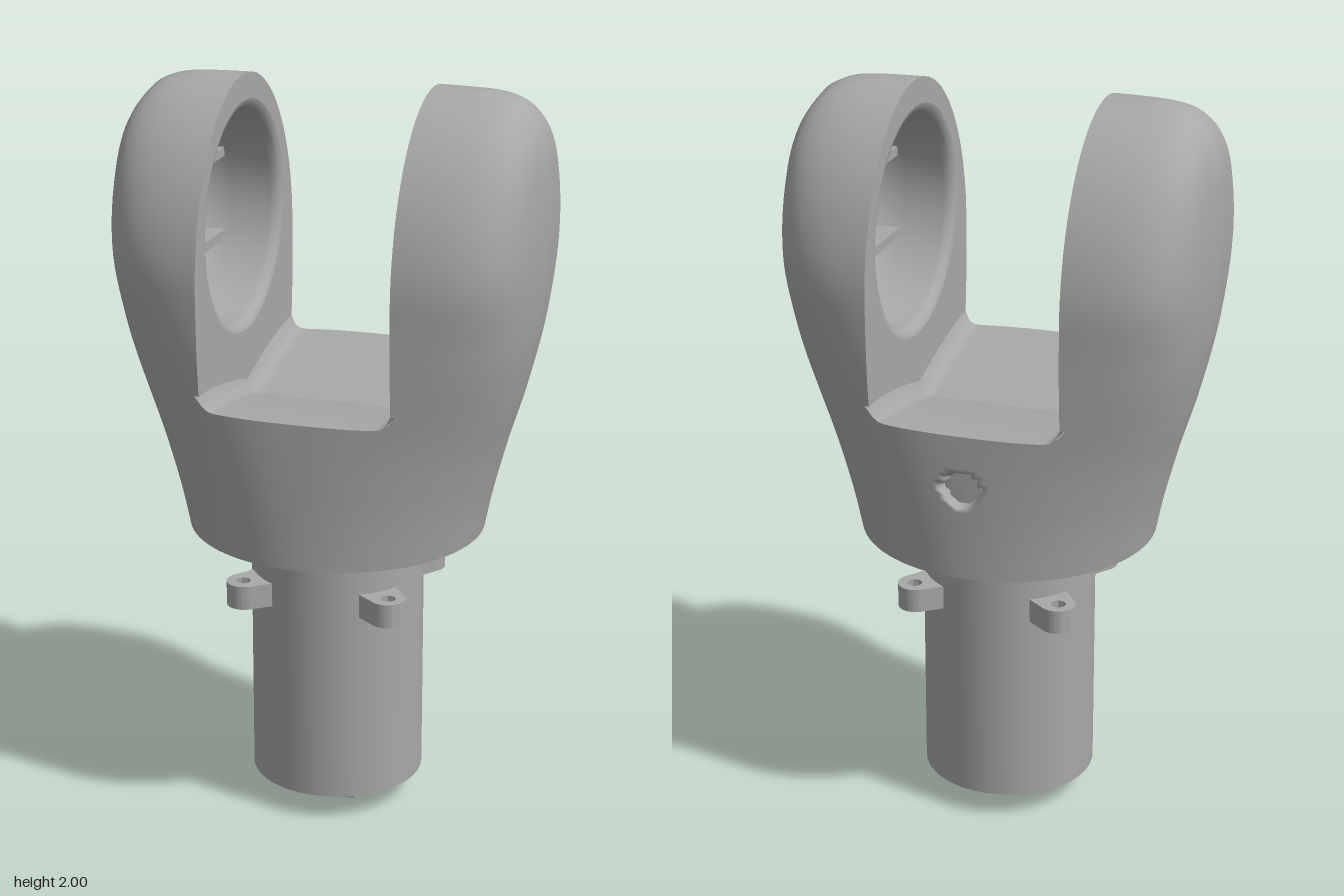
import * as THREE from 'three';
import { toCreasedNormals } from 'three/addons/utils/BufferGeometryUtils.js';

const grey = new THREE.MeshStandardMaterial({ color: 0xa8a8a8, side: THREE.DoubleSide });
grey.name = 'grey plastic';

const SLOT = 0.255, FILLET = 0.04, FLOOR = 1.2, ARM_START = FLOOR + FILLET;

// smooth interpolation through [y, value] keys
function curve(keys) {
  return (y) => {
    let i = 0;
    while (i < keys.length - 2 && y > keys[i + 1][0]) i++;
    const at = (k) => keys[Math.min(Math.max(k, 0), keys.length - 1)];
    const slope = (k) => (at(k + 1)[1] - at(k - 1)[1]) / (at(k + 1)[0] - at(k - 1)[0]);
    const [y0, a] = keys[i], [y1, b] = keys[i + 1], h = y1 - y0;
    const t = Math.min(Math.max((y - y0) / h, 0), 1), t2 = t * t, t3 = t2 * t;
    return (2 * t3 - 3 * t2 + 1) * a + (t3 - 2 * t2 + t) * h * slope(i)
      + (3 * t2 - 2 * t3) * b + (t3 - t2) * h * slope(i + 1);
  };
}

// housing half width, half depth and squareness by height
const halfX = curve([[0.8, 0.4], [0.9, 0.42], [1.05, 0.458], [1.2, 0.502], [1.4, 0.546], [1.6, 0.565],
  [1.78, 0.563], [1.88, 0.548], [1.95, 0.51], [1.985, 0.46], [2, 0.39]]);
const power = curve([[0.8, 2], [1, 2.2], [1.2, 2.6], [1.4, 3.6], [1.6, 5], [2, 5]]);
const ridge = curve([[0.8, 0], [1.2, 0.02], [1.5, 0.05], [2, 0.05]]);
const halfZ = (y) => y < 1.5
  ? 0.393 + 0.007 * Math.sin(Math.PI * Math.min(Math.max((y - 0.8) / 0.7, 0), 1)) - 0.003 * (y - 0.8) / 0.7
  : 0.39 * Math.sqrt(Math.max(0, 1 - ((y - 1.5) / 0.5) ** 2));

// point on one quarter of the section, a = 0 (side) .. PI/2 (front)
function section(a, y, inset = 0) {
  const n = power(y), c = Math.max(Math.cos(a), 0), s = Math.sin(a);
  const r = (c ** n + s ** n) ** (-1 / n);
  return [(halfX(y) - inset) * r * c * (1 - ridge(y) * r * s), (halfZ(y) - inset) * r * s];
}

// angle where the section meets the slot wall
function slotAngle(y) {
  let lo = 0, hi = Math.PI / 2;
  for (let i = 0; i < 30; i++) {
    const m = (lo + hi) / 2;
    if (section(m, y)[0] > SLOT) lo = m; else hi = m;
  }
  return lo;
}

// grid surface from fn(u, v) -> [x, y, z]
function surface(fn, nu, nv, flip) {
  const pos = [], idx = [];
  for (let j = 0; j <= nv; j++) for (let i = 0; i <= nu; i++) pos.push(...fn(i / nu, j / nv));
  for (let j = 0; j < nv; j++) for (let i = 0; i < nu; i++) {
    const a = j * (nu + 1) + i, b = a + 1, c = a + nu + 1, d = c + 1;
    idx.push(...(flip ? [a, c, b, b, c, d] : [a, b, c, b, d, c]));
  }
  const g = new THREE.BufferGeometry();
  g.setAttribute('position', new THREE.Float32BufferAttribute(pos, 3));
  g.setIndex(idx);
  g.computeVertexNormals();
  return g;
}

// slot floor height: filleted ends
const floorY = (x) => {
  const d = Math.min(Math.max(Math.abs(x) - (SLOT - FILLET), 0), FILLET);
  return FLOOR + FILLET - Math.sqrt(FILLET * FILLET - d * d);
};

function add(parent, name, geometry) {
  const m = new THREE.Mesh(geometry, grey);
  m.name = name;
  parent.add(m);
  return m;
}

function makeArm() {
  const arm = new THREE.Group();
  const rowY = (v) => ARM_START + (2 - ARM_START) * Math.sin(v * Math.PI / 2);
  // outer skin in two mirrored halves
  for (const sz of [1, -1]) {
    add(arm, 'armShell', surface((u, v) => {
      const y = rowY(v), [x, z] = section(u * slotAngle(y), y);
      return [u === 1 ? SLOT : x, y, z * sz];
    }, 28, 40, sz > 0));
  }
  // flat inner wall with a round opening
  const edge = [];
  for (let i = 0; i <= 32; i++) {
    const y = rowY(i / 32);
    edge.push(new THREE.Vector2(section(slotAngle(y), y)[1], y));
  }
  const outline = [...edge, ...edge.slice(0, -1).reverse().map((p) => new THREE.Vector2(-p.x, p.y)),
    new THREE.Vector2(0, 1.1)];
  const wall = new THREE.Shape(outline);
  wall.holes.push(new THREE.Path().absarc(0, 1.62, 0.31, 0, Math.PI * 2, true));
  add(arm, 'innerWall', new THREE.ShapeGeometry(wall, 32).rotateY(-Math.PI / 2).translate(SLOT, 0, 0));
  // recessed socket with rounded rim
  const profile = [[0.31, 0], [0.297, 0.004], [0.288, 0.015], [0.285, 0.03], [0.28, 0.14], [0.262, 0.2],
    [0.23, 0.235], [0, 0.245]].map((p) => new THREE.Vector2(...p));
  add(arm, 'socket', new THREE.LatheGeometry(profile, 64).rotateZ(-Math.PI / 2).translate(SLOT, 1.62, 0));
  for (const y of [1.5, 1.73]) {
    add(arm, 'socketRib', new THREE.BoxGeometry(0.09, 0.025, 0.48).translate(0.445, y, 0));
  }
  return arm;
}

export function createModel() {
  const model = new THREE.Group();
  model.name = 'forkHead';

  for (const turn of [0, Math.PI]) {
    const arm = makeArm();
    arm.name = turn ? 'rightArm' : 'leftArm';
    arm.rotation.y = turn;
    model.add(arm);
  }

  // lower housing in four quarters, hollow below, with a screw hole at the back
  const base = new THREE.Group();
  base.name = 'baseHousing';
  model.add(base);
  for (const sx of [1, -1]) for (const sz of [1, -1]) {
    add(base, 'baseShell', surface((u, v) => {
      const a = u * Math.PI / 2, top = floorY(section(a, FLOOR)[0]);
      const y = 0.8 + v * (top - 0.8), [x, z] = section(a, y);
      const dent = sz < 0 && Math.hypot(x, y - 1.05) < 0.045 ? 0.07 : 0;
      return [x * sx, y, (z - dent) * sz];
    }, 48, 36, sx * sz > 0));
    add(base, 'baseLining', surface((u, v) => {
      const y = 0.8 + 0.3 * v, [x, z] = section(u * Math.PI / 2, y, 0.03);
      return [x * sx, y, z * sz];
    }, 24, 6, sx * sz < 0));
    add(base, 'baseRim', surface((u, v) => {
      const [x, z] = section(u * Math.PI / 2, 0.8, 0.03 * v);
      return [x * sx, 0.8, z * sz];
    }, 24, 1, sx * sz < 0));
  }

  // slot floor: two halves dipping to the middle seam
  for (const sz of [1, -1]) {
    add(base, 'slotFloor', surface((u, v) => {
      const x = (u * 2 - 1) * SLOT, y = floorY(x), n = power(y);
      const q = Math.min(1, Math.abs(x) / (halfX(y) * (1 - ridge(y))));
      return [x, y - 0.07 * v ** 1.6, halfZ(y) * (1 - q ** n) ** (1 / n) * (1 - v) * sz];
    }, 40, 12, sz < 0));
  }

  // shank with recessed underside
  const shank = [[0, 0.15], [0.2, 0.15], [0.2, 0.07], [0.235, 0.07], [0.235, 1.05], [0, 1.05]];
  add(model, 'shank', toCreasedNormals(
    new THREE.LatheGeometry(shank.map((p) => new THREE.Vector2(...p)), 64), 0.6));
  for (const s of [1, -1]) {
    add(model, 'bottomProng', new THREE.BoxGeometry(0.16, 0.16, 0.045).translate(0, 0.08, 0.072 * s));
  }

  // four screw lugs on the diagonals
  const lug = new THREE.Shape();
  lug.moveTo(0.2, -0.06);
  lug.lineTo(0.283, -0.048);
  lug.absarc(0.283, 0, 0.048, -Math.PI / 2, Math.PI / 2, false);
  lug.lineTo(0.2, 0.06);
  lug.holes.push(new THREE.Path().absarc(0.287, 0, 0.02, 0, Math.PI * 2, true));
  const lugGeometry = new THREE.ExtrudeGeometry(lug, { depth: 0.066, bevelEnabled: false, curveSegments: 16 })
    .rotateX(-Math.PI / 2).translate(0, 0.602, 0);
  for (let i = 0; i < 4; i++) {
    add(model, 'screwLug', toCreasedNormals(lugGeometry, 0.6)).rotation.y = Math.PI / 4 + i * Math.PI / 2;
  }
  return model;
}
